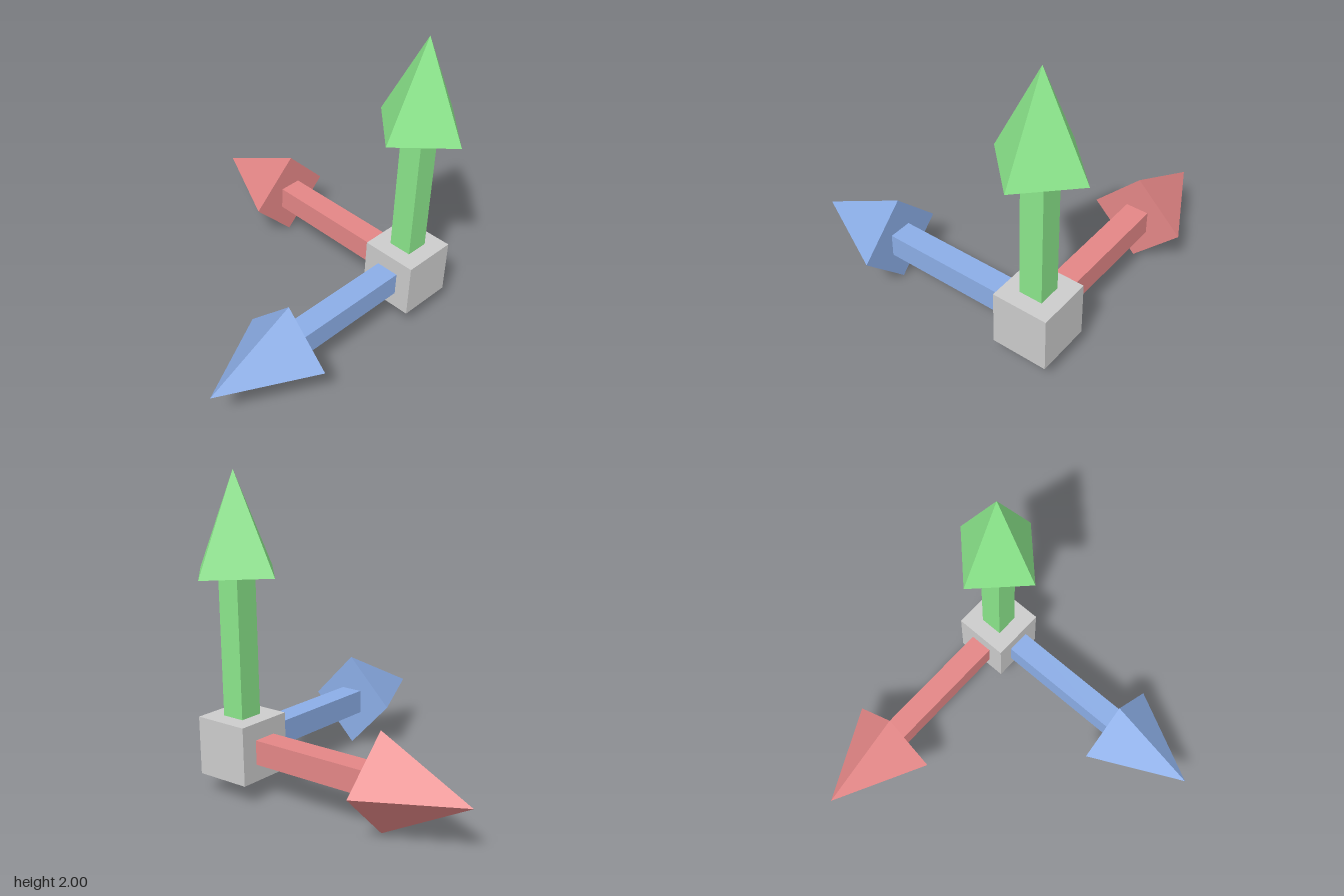
import * as THREE from 'three';

const CUBE = 0.37, SHAFT = 0.155, HEAD_RADIUS = 0.31, HEAD_BASE = 1.075, TIP = 1.69;

// One arrow pointing along +y from the cube's centre
function makeArrow(name, color) {
  const material = new THREE.MeshStandardMaterial({ color, flatShading: true });
  const arrow = new THREE.Group();
  arrow.name = name;

  // Square shaft from the cube's face to the head
  const start = CUBE / 2;
  const shaft = new THREE.Mesh(new THREE.BoxGeometry(SHAFT, HEAD_BASE - start, SHAFT), material);
  shaft.name = name + 'Shaft';
  shaft.position.y = (start + HEAD_BASE) / 2;

  // Four-sided pyramid head, corners on the axes
  const head = new THREE.Mesh(new THREE.ConeGeometry(HEAD_RADIUS, TIP - HEAD_BASE, 4), material);
  head.name = name + 'Head';
  head.position.y = (HEAD_BASE + TIP) / 2;

  arrow.add(shaft, head);
  return arrow;
}

export function createModel() {
  const model = new THREE.Group();
  model.name = 'axisArrows';

  // Everything is built around the cube's centre
  const gizmo = new THREE.Group();
  gizmo.name = 'gizmo';
  gizmo.position.set(0.69, 0.31, -0.69);
  model.add(gizmo);

  const cube = new THREE.Mesh(
    new THREE.BoxGeometry(CUBE, CUBE, CUBE),
    new THREE.MeshStandardMaterial({ color: 0xcccccc, flatShading: true })
  );
  cube.name = 'centreCube';

  const sideArrow = makeArrow('sideArrow', 0xe38686);
  sideArrow.rotation.z = Math.PI / 2; // towards -x

  const upArrow = makeArrow('upArrow', 0x8be68b);

  const frontArrow = makeArrow('frontArrow', 0x8bade6);
  frontArrow.rotation.x = Math.PI / 2; // towards +z

  gizmo.add(cube, sideArrow, upArrow, frontArrow);
  return model;
}
